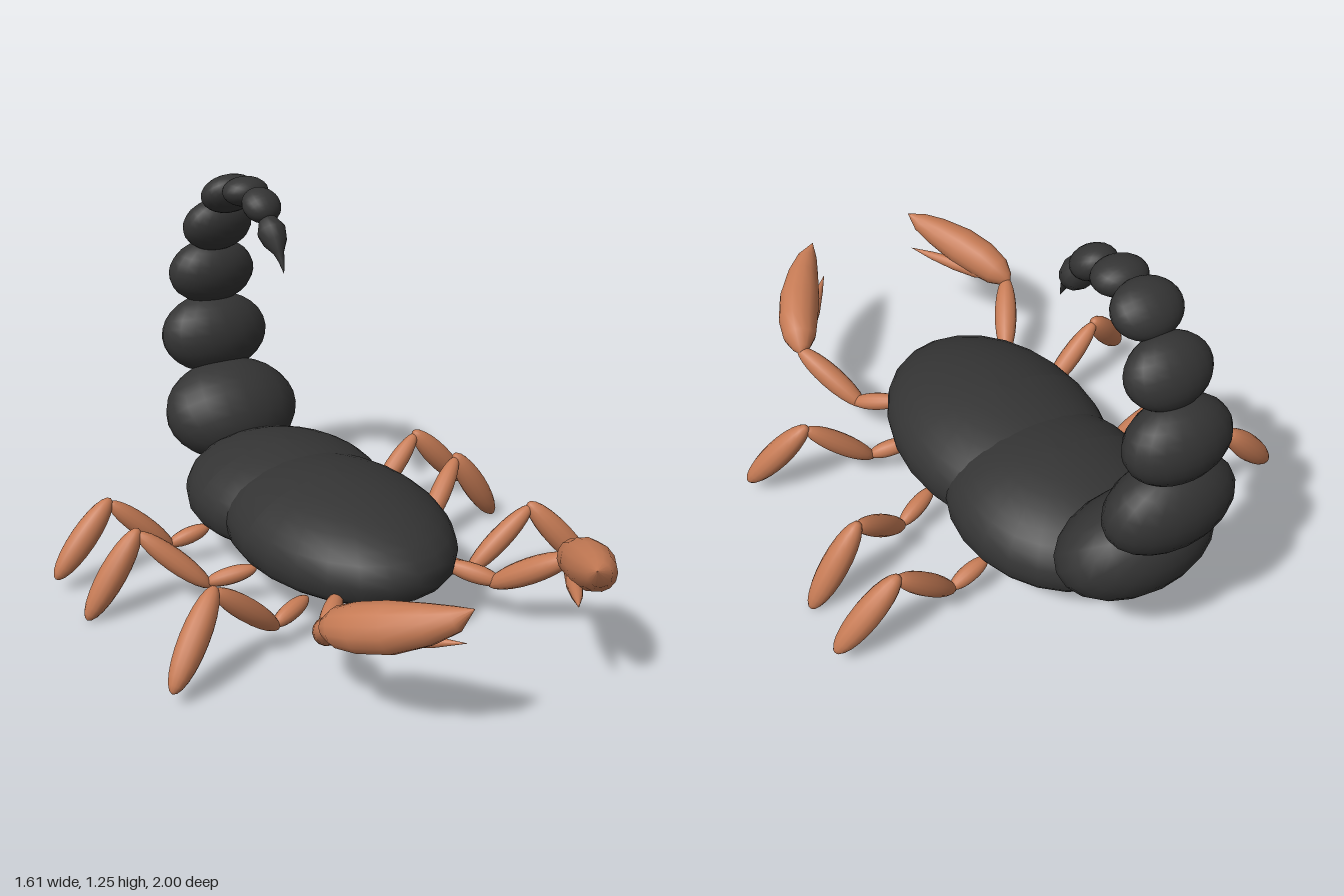
import * as THREE from 'three';

const shell = new THREE.MeshStandardMaterial({ color: 0x343434 });
shell.name = 'dark shell';
const limb = new THREE.MeshStandardMaterial({ color: 0xc67b55 });
limb.name = 'orange limb';

const V = (p, s = 1) => new THREE.Vector3(p[0] * s, p[1], p[2]);

function add(parent, name, geometry, material) {
  const mesh = new THREE.Mesh(geometry, material);
  mesh.name = name;
  parent.add(mesh);
  return mesh;
}

// Ellipsoid body plate with a flattened belly
function bodyGeometry(rx, top, bottom, rz) {
  const g = new THREE.SphereGeometry(1, 24, 18);
  const p = g.attributes.position;
  for (let i = 0; i < p.count; i++) {
    const y = p.getY(i);
    p.setXYZ(i, p.getX(i) * rx, y > 0 ? y * top : -Math.pow(-y, 0.72) * bottom, p.getZ(i) * rz);
  }
  g.computeVertexNormals();
  return g;
}

// Ellipsoid limb segment stretched between two points
function segment(parent, name, a, b, r) {
  const g = new THREE.SphereGeometry(1, 14, 12);
  const d = b.clone().sub(a);
  const mesh = add(parent, name, g, limb);
  g.scale(r, d.length() / 2, r);
  mesh.position.copy(a).add(b).multiplyScalar(0.5);
  mesh.quaternion.setFromUnitVectors(new THREE.Vector3(0, 1, 0), d.normalize());
}

// Round cross-sections along a path, one radius per point
function loft(points, radii, ref, sides = 14) {
  const pos = [], index = [];
  points.forEach((c, i) => {
    const t = points[Math.min(i + 1, points.length - 1)].clone()
      .sub(points[Math.max(i - 1, 0)]).normalize();
    const s = ref.clone().cross(t).normalize();
    const u = t.clone().cross(s);
    for (let j = 0; j < sides; j++) {
      const a = (j / sides) * Math.PI * 2;
      const p = c.clone().addScaledVector(s, Math.cos(a) * radii[i])
        .addScaledVector(u, Math.sin(a) * radii[i]);
      pos.push(p.x, p.y, p.z);
      if (i < points.length - 1) {
        const k = i * sides + j, n = i * sides + (j + 1) % sides;
        index.push(k, n, k + sides, n, n + sides, k + sides);
      }
    }
  });
  const g = new THREE.BufferGeometry();
  g.setAttribute('position', new THREE.Float32BufferAttribute(pos, 3));
  g.setIndex(index);
  g.computeVertexNormals();
  return g;
}

export function createModel() {
  const model = new THREE.Group();
  model.name = 'scorpion';
  const UP = new THREE.Vector3(0, 1, 0);

  // Body
  add(model, 'frontBody', bodyGeometry(0.33, 0.185, 0.13, 0.48), shell).position.set(0, 0.23, 0);
  add(model, 'rearBody', bodyGeometry(0.33, 0.185, 0.13, 0.385), shell).position.set(0, 0.225, -0.34);

  // Tail: y, z, half width, half length, half thickness, tilt
  const tail = new THREE.Group();
  tail.name = 'tail';
  model.add(tail);
  [
    [0.392, -0.75, 0.248, 0.19, 0.155, -0.75],
    [0.648, -0.877, 0.2, 0.145, 0.12, -0.2],
    [0.875, -0.884, 0.16, 0.118, 0.1, 0.2],
    [1.053, -0.823, 0.127, 0.1, 0.076, 0.5],
    [1.178, -0.718, 0.102, 0.083, 0.06, 0.9],
    [1.205, -0.597, 0.08, 0.066, 0.05, 1.57],
    [1.178, -0.483, 0.065, 0.068, 0.05, 2.15],
  ].forEach(([y, z, w, l, t, tilt], i) => {
    const mesh = add(tail, 'tailSegment' + (i + 1), new THREE.SphereGeometry(1, 20, 14).scale(w, l, t), shell);
    mesh.position.set(0, y, z);
    mesh.rotation.x = tilt;
  });

  // Stinger
  const sting = [[0, 1.145, -0.455], [0, 1.135, -0.442], [0, 1.105, -0.415], [0, 1.075, -0.39],
    [0, 1.045, -0.367], [0, 1.02, -0.35], [0, 0.98, -0.333]].map((p) => V(p));
  add(tail, 'stinger', loft(sting, [0, 0.03, 0.048, 0.04, 0.018, 0.01, 0], new THREE.Vector3(1, 0, 0)), shell);

  // Walking legs: hip, ankle of hip joint, knee, foot
  const legs = {
    front: [[0.22, 0.125, 0.2], [0.36, 0.09, 0.245], [0.565, 0.275, 0.275], [0.745, 0.05, 0.375]],
    middle: [[0.27, 0.13, -0.04], [0.42, 0.09, -0.1], [0.605, 0.27, -0.195], [0.78, 0.01, -0.2]],
    rear: [[0.27, 0.13, -0.39], [0.41, 0.09, -0.41], [0.6, 0.275, -0.445], [0.8, 0.055, -0.425]],
  };

  // Claw arms and pincers
  const claw = [[0.42, 0.285, 0.625], [0.412, 0.295, 0.645], [0.398, 0.312, 0.685], [0.373, 0.335, 0.75],
    [0.33, 0.363, 0.83], [0.275, 0.398, 0.915], [0.23, 0.427, 0.97], [0.195, 0.458, 0.998]];
  const clawRadii = [0, 0.03, 0.056, 0.068, 0.07, 0.054, 0.034, 0];
  const finger = [[0.39, 0.29, 0.66], [0.345, 0.297, 0.74], [0.29, 0.308, 0.81], [0.235, 0.32, 0.885], [0.18, 0.335, 0.955]];

  for (const s of [1, -1]) {
    const side = s > 0 ? 'left' : 'right';
    for (const [name, pts] of Object.entries(legs)) {
      const leg = new THREE.Group();
      leg.name = `${side} ${name} leg`;
      model.add(leg);
      const [hip, joint, knee, foot] = pts.map((p) => V(p, s));
      segment(leg, 'hip', hip, joint, 0.028);
      segment(leg, 'upperLeg', joint.clone().lerp(knee, -0.08), knee, 0.036);
      segment(leg, 'lowerLeg', knee.clone().lerp(foot, -0.05), foot, 0.044);
    }
    const arm = new THREE.Group();
    arm.name = `${side} claw arm`;
    model.add(arm);
    segment(arm, 'armBase', V([0.19, 0.19, 0.33], s), V([0.315, 0.148, 0.46], s), 0.03);
    segment(arm, 'forearm', V([0.285, 0.135, 0.43], s), V([0.42, 0.295, 0.655], s), 0.04);
    add(arm, 'claw', loft(claw.map((p) => V(p, s)), clawRadii, UP), limb);
    add(arm, 'clawFinger', loft(finger.map((p) => V(p, s)), [0, 0.026, 0.024, 0.015, 0], UP), limb);
  }
  return model;
}
